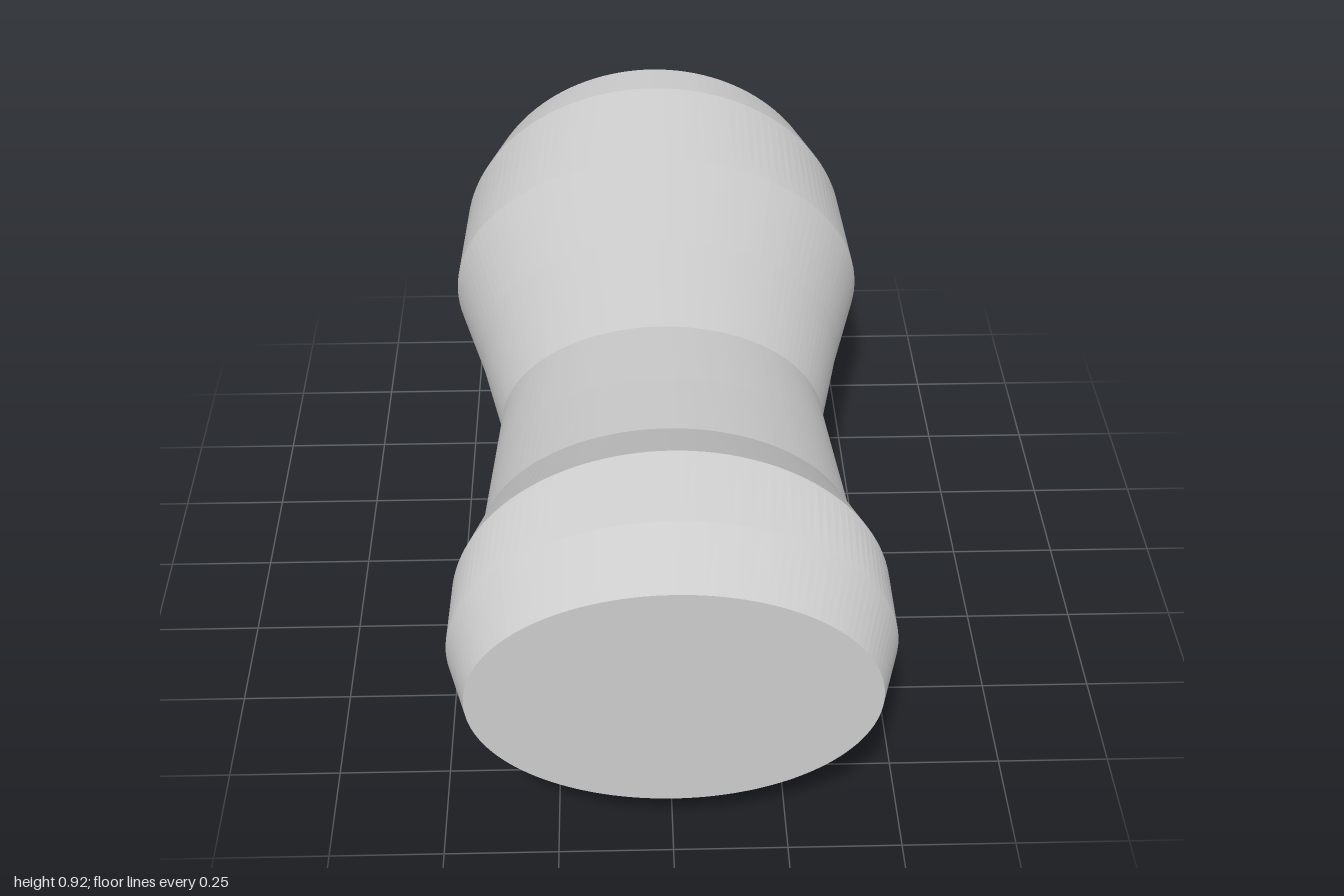
import * as THREE from 'three';

// Elliptical cross-sections from front to back: [z, top, bottom, half width]
const SECTIONS = [
  [1.0, 0.732, 0.16, 0.435],
  [0.87, 0.815, 0.132, 0.476],
  [0.78, 0.925, 0.126, 0.465],
  [0.52, 0.79, 0.176, 0.415],
  [0.28, 0.755, 0.172, 0.402],
  [0.025, 0.725, 0.168, 0.388],
  [-0.28, 0.778, 0.117, 0.452],
  [-0.58, 0.835, 0.058, 0.528],
  [-0.87, 0.89, 0.002, 0.515],
  [-1.0, 0.88, 0.014, 0.472],
];

// Unit cylinder along z, with each ring fitted to its own section
function loftSections(sections, sides) {
  const bands = sections.length - 1;
  const geometry = new THREE.CylinderGeometry(1, 1, 2, sides, bands).rotateX(Math.PI / 2);
  const pos = geometry.attributes.position;
  for (let i = 0; i < pos.count; i++) {
    const ring = Math.round(((1 - pos.getZ(i)) / 2) * bands);
    const [z, top, bottom, halfWidth] = sections[ring];
    const y = (top + bottom) / 2 + (pos.getY(i) * (top - bottom)) / 2;
    pos.setXYZ(i, pos.getX(i) * halfWidth, y, z);
  }
  geometry.computeVertexNormals();
  return geometry;
}

export function createModel() {
  const group = new THREE.Group();
  group.name = 'waistedHandle';

  // Solid body: raised front ridge, narrow waist, flared rear, flat ends
  const material = new THREE.MeshStandardMaterial({ color: 0xcccccc, flatShading: true });
  const body = new THREE.Mesh(loftSections(SECTIONS, 128), material);
  body.name = 'body';
  group.add(body);

  return group;
}
